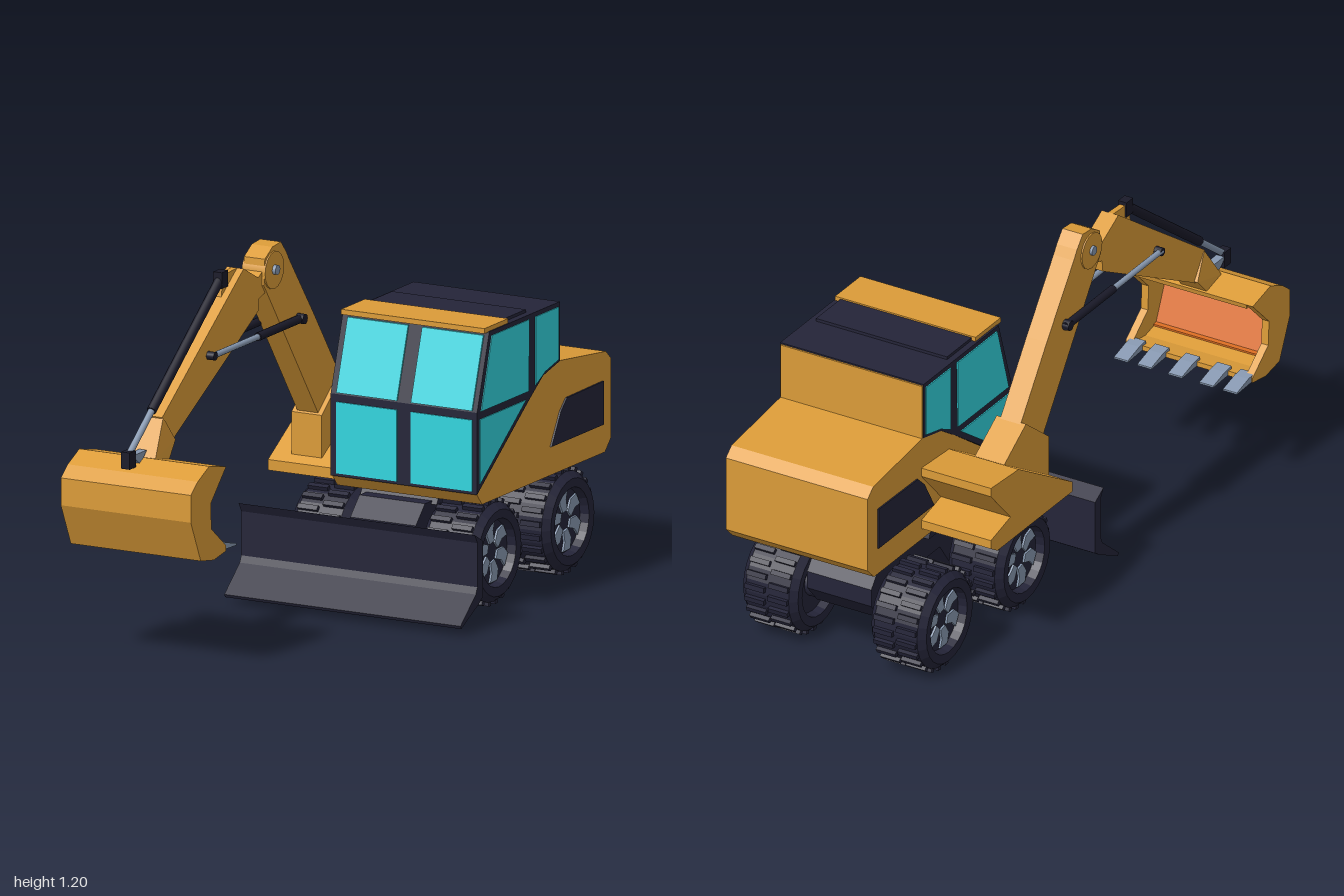
import * as THREE from 'three';

const mat = (name, color) => {
  const m = new THREE.MeshStandardMaterial({ color });
  m.name = name;
  return m;
};

export function createModel() {
  const yellow = mat('yellow paint', 0xdb9b38);
  const dark = mat('dark frame', 0x242438);
  const black = mat('black cylinder', 0x1a1a29);
  const glass = mat('turquoise glass', 0x32d5df);
  const steel = mat('blue grey steel', 0x8798b0);
  const orange = mat('orange lining', 0xd96c22);

  const model = new THREE.Group();
  model.name = 'wheeledExcavator';

  const add = (name, geo, material, parent = model) => {
    const mesh = new THREE.Mesh(geo, material);
    mesh.name = name;
    parent.add(mesh);
    return mesh;
  };

  // Side profile given as [z, y] points, extruded from x0 to x1
  const sideGeo = (pts, x0, x1) => {
    const shape = new THREE.Shape(pts.map(([z, y]) => new THREE.Vector2(-z, y)));
    const geo = new THREE.ExtrudeGeometry(shape, { depth: x1 - x0, bevelEnabled: false });
    return geo.rotateY(Math.PI / 2).translate(x0, 0, 0);
  };
  const side = (name, pts, x0, x1, material, parent) => add(name, sideGeo(pts, x0, x1), material, parent);

  const box = (name, x0, x1, y0, y1, z0, z1, material, parent) =>
    add(name, new THREE.BoxGeometry(x1 - x0, y1 - y0, z1 - z0)
      .translate((x0 + x1) / 2, (y0 + y1) / 2, (z0 + z1) / 2), material, parent);

  // Cylinder between two [x, y, z] points
  const rod = (name, a, b, r, material, parent) => {
    const p = new THREE.Vector3(...a), q = new THREE.Vector3(...b);
    const mesh = add(name, new THREE.CylinderGeometry(r, r, p.distanceTo(q), 12), material, parent);
    mesh.position.copy(p).add(q).multiplyScalar(0.5);
    mesh.quaternion.setFromUnitVectors(new THREE.Vector3(0, 1, 0), q.sub(p).normalize());
    return mesh;
  };

  // Upper body and cab
  const L = -0.12, R = 0.41;
  side('body', [[-0.125, 0.41], [-0.16, 0.37], [-0.96, 0.37], [-1, 0.41], [-1, 0.67], [-0.965, 0.7],
    [-0.66, 0.735], [-0.55, 0.71], [-0.46, 0.65]], L, R, yellow);
  side('cab', [[-0.12, 0.41], [-0.46, 0.65], [-0.55, 0.71], [-0.66, 0.735], [-0.66, 0.93],
    [-0.2, 0.93], [-0.12, 0.68]], L - 0.002, R + 0.004, dark);
  box('cabBack', L, R, 0.735, 0.925, -0.666, -0.658, yellow);
  box('roofVisor', -0.115, R, 0.928, 0.945, -0.33, -0.175, yellow);
  box('roofPanel', -0.1, 0.39, 0.928, 0.94, -0.48, -0.33, dark);

  // Front panes, two wide and two high
  for (const [x0, x1] of [[-0.1, 0.122], [0.173, 0.397]]) {
    side('frontUpperWindow', [[-0.125, 0.685], [-0.116, 0.685], [-0.19, 0.918], [-0.199, 0.918]], x0, x1, glass);
    box('frontLowerWindow', x0, x1, 0.42, 0.655, -0.123, -0.116, glass);
  }

  // Side panes and engine vents, mirrored on both flanks
  const panes = [
    ['sideUpperWindow', [[-0.143, 0.68], [-0.213, 0.915], [-0.457, 0.915], [-0.452, 0.68]], glass],
    ['sideLowerWindow', [[-0.137, 0.655], [-0.435, 0.655], [-0.137, 0.443]], glass],
    ['sideRearWindow', [[-0.497, 0.915], [-0.647, 0.915], [-0.647, 0.742], [-0.56, 0.722], [-0.497, 0.69]], glass],
    ['engineVent', [[-0.6, 0.465], [-0.66, 0.568], [-0.7, 0.605], [-0.94, 0.608], [-0.94, 0.465]], dark],
  ];
  for (const [name, pts, m] of panes) {
    side(name, pts, R + 0.001, R + 0.007, m);
    side(name, pts, L - 0.006, L - 0.001, m);
  }

  // Boom bracket beside the cab
  side('boomBracket', [[-0.17, 0.385], [-0.17, 0.42], [-0.5, 0.62], [-0.67, 0.63], [-0.67, 0.6],
    [-0.55, 0.47], [-0.67, 0.44], [-0.67, 0.41], [-0.63, 0.385]], -0.38, L, yellow);
  side('boomFoot', [[-0.2, 0.44], [-0.2, 0.58], [-0.34, 0.69], [-0.48, 0.6], [-0.48, 0.44]], -0.31, -0.2, yellow);

  // Boom and stick
  side('boom', [[0.147, 1.08], [0.14, 1.165], [0.09, 1.195], [0.035, 1.2], [0, 1.16], [-0.02, 1.13],
    [-0.185, 0.91], [-0.48, 0.5], [-0.48, 0.44], [-0.31, 0.44], [0.125, 1.05]], -0.293, -0.217, yellow);
  add('boomKnuckle', new THREE.CylinderGeometry(0.062, 0.062, 0.086, 16).rotateZ(Math.PI / 2)
    .translate(-0.255, 1.118, 0.085), yellow);
  side('stick', [[0.265, 1.16], [0.17, 1.11], [0.1, 1.15], [0.1, 1.06], [0.165, 1.04], [0.17, 1],
    [0.74, 0.69], [0.79, 0.66], [0.845, 0.67], [0.78, 0.755], [0.795, 0.785]], -0.286, -0.224, yellow);
  rod('knucklePin', [-0.307, 1.12, 0.085], [-0.2, 1.12, 0.085], 0.016, steel);
  rod('boomCrossPin', [-0.317, 0.925, -0.075], [-0.19, 0.925, -0.075], 0.017, black);
  rod('stickCrossPin', [-0.312, 0.925, 0.495], [-0.197, 0.925, 0.495], 0.014, black);

  // Hydraulic cylinders
  for (const x of [-0.303, -0.207]) {
    rod('boomCylinder', [x, 0.925, -0.09], [x, 0.925, 0.205], 0.014, black);
    rod('boomPiston', [x, 0.925, 0.205], [x, 0.925, 0.5], 0.01, steel);
  }
  rod('bucketCylinder', [-0.258, 1.145, 0.355], [-0.258, 0.805, 0.805], 0.016, black);
  rod('bucketPiston', [-0.258, 0.805, 0.805], [-0.258, 0.69, 0.955], 0.011, steel);
  box('cylinderMount', -0.274, -0.242, 1.115, 1.168, 0.335, 0.375, black);
  box('pistonEnd', -0.274, -0.242, 0.65, 0.705, 0.935, 0.975, black);
  side('stickLug', [[0.265, 1.16], [0.355, 1.155], [0.37, 1.08]], -0.268, -0.248, yellow);
  side('bucketLink', [[0.95, 0.69], [0.86, 0.69], [0.9, 0.65]], -0.272, -0.244, steel);

  // Flared bucket hitch, widening towards the bucket
  const hitch = sideGeo([[0.73, 0.7], [0.79, 0.785], [0.87, 0.665], [0.78, 0.645]], -1, 1);
  const hp = hitch.attributes.position;
  for (let i = 0; i < hp.count; i++) {
    const w = 0.032 + 0.016 * THREE.MathUtils.clamp((0.785 - hp.getY(i)) / 0.12, 0, 1);
    hp.setX(i, -0.255 + hp.getX(i) * w);
  }
  hitch.computeVertexNormals();
  add('bucketHitch', hitch, yellow);

  // Bucket
  const bucket = new THREE.Group();
  bucket.name = 'bucket';
  model.add(bucket);
  const outer = [[0.77, 0.645], [0.88, 0.67], [0.955, 0.635], [1, 0.6], [1, 0.51], [0.935, 0.37], [0.85, 0.355], [0.77, 0.368]];
  side('bucketShell', [...outer, [0.77, 0.385], [0.85, 0.375], [0.92, 0.39], [0.975, 0.515],
    [0.975, 0.59], [0.945, 0.615], [0.88, 0.645], [0.775, 0.628]], -0.455, -0.03, yellow, bucket);
  side('bucketLining', [[0.9, 0.386], [0.92, 0.389], [0.976, 0.515], [0.976, 0.59], [0.945, 0.616], [0.88, 0.646],
    [0.88, 0.64], [0.94, 0.61], [0.97, 0.588], [0.97, 0.516], [0.916, 0.394], [0.9, 0.392]], -0.455, -0.03, orange, bucket);
  for (const x of [-0.48, -0.03])
    side('bucketCheek', [...outer, [0.77, 0.386], [0.865, 0.46], [0.87, 0.545]], x, x + 0.026, yellow, bucket);
  for (const x of [-0.45, -0.362, -0.245, -0.13, -0.042])
    side('tooth', [[0.79, 0.394], [0.79, 0.37], [0.68, 0.366], [0.68, 0.372], [0.75, 0.39]], x - 0.026, x + 0.026, steel, bucket);

  // Undercarriage
  const C = 0.047;
  side('turntable', [[-0.26, 0.32], [-0.29, 0.37], [-0.56, 0.37], [-0.58, 0.32]], C - 0.14, C + 0.14, dark);
  side('chassis', [[-0.16, 0.27], [-0.22, 0.33], [-0.86, 0.33], [-0.9, 0.28], [-0.9, 0.22], [-0.84, 0.15],
    [-0.72, 0.15], [-0.62, 0.24], [-0.48, 0.24], [-0.4, 0.13], [-0.16, 0.13]], C - 0.12, C + 0.12, dark);
  for (const z of [-0.31, -0.785])
    rod('axle', [C - 0.2, 0.18, z], [C + 0.2, 0.18, z], 0.05, dark);

  // Dozer blade
  side('bladeArm', [[-0.03, 0.25], [-0.08, 0.232], [-0.2, 0.232], [-0.2, 0.13], [-0.08, 0.13], [-0.03, 0.11]],
    C - 0.11, C + 0.11, dark);
  side('dozerBlade', [[0.012, 0.315], [-0.04, 0.285], [-0.04, 0.1], [-0.01, 0.08], [0.1, 0.025], [0.105, 0.035],
    [0.005, 0.118], [-0.005, 0.14], [-0.005, 0.285]], -0.385, 0.48, dark);

  // Wheels: tyre, two staggered lug rows, spoked hub facing outwards
  const tyreGeo = new THREE.LatheGeometry([[0.104, -0.06], [0.112, -0.1], [0.142, -0.1025], [0.163, -0.08],
    [0.163, 0.08], [0.142, 0.1025], [0.112, 0.1], [0.104, 0.06]].map(p => new THREE.Vector2(...p)), 24)
    .toNonIndexed().rotateZ(-Math.PI / 2);
  tyreGeo.computeVertexNormals();
  const hubGeo = new THREE.CylinderGeometry(0.106, 0.106, 0.14, 24).rotateZ(Math.PI / 2);
  const lugGeo = new THREE.BoxGeometry(0.072, 0.016, 0.017);
  const spokeGeo = sideGeo([[-0.012, 0.035], [0.016, 0.028], [0.038, 0.062], [0.03, 0.098], [-0.014, 0.1], [-0.004, 0.07]], 0.068, 0.077);
  for (const s of [-1, 1]) for (const z of [-0.31, -0.785]) {
    const wheel = new THREE.Group();
    wheel.name = 'wheel';
    wheel.position.set(C + s * 0.24, 0.176, z);
    if (s < 0) wheel.rotation.y = Math.PI;
    model.add(wheel);
    add('tyre', tyreGeo, dark, wheel);
    add('hub', hubGeo, dark, wheel);
    const N = 24;
    for (let i = 0; i < N; i++) for (const row of [-1, 1]) {
      const a = (i + (row > 0 ? 0.5 : 0)) / N * Math.PI * 2;
      const lug = add('treadLug', lugGeo, dark, wheel);
      lug.position.set(row * 0.043, Math.cos(a) * 0.167, Math.sin(a) * 0.167);
      lug.rotation.x = a;
    }
    for (let i = 0; i < 6; i++) add('spoke', spokeGeo, steel, wheel).rotation.x = i * Math.PI / 3;
  }
  return model;
}
